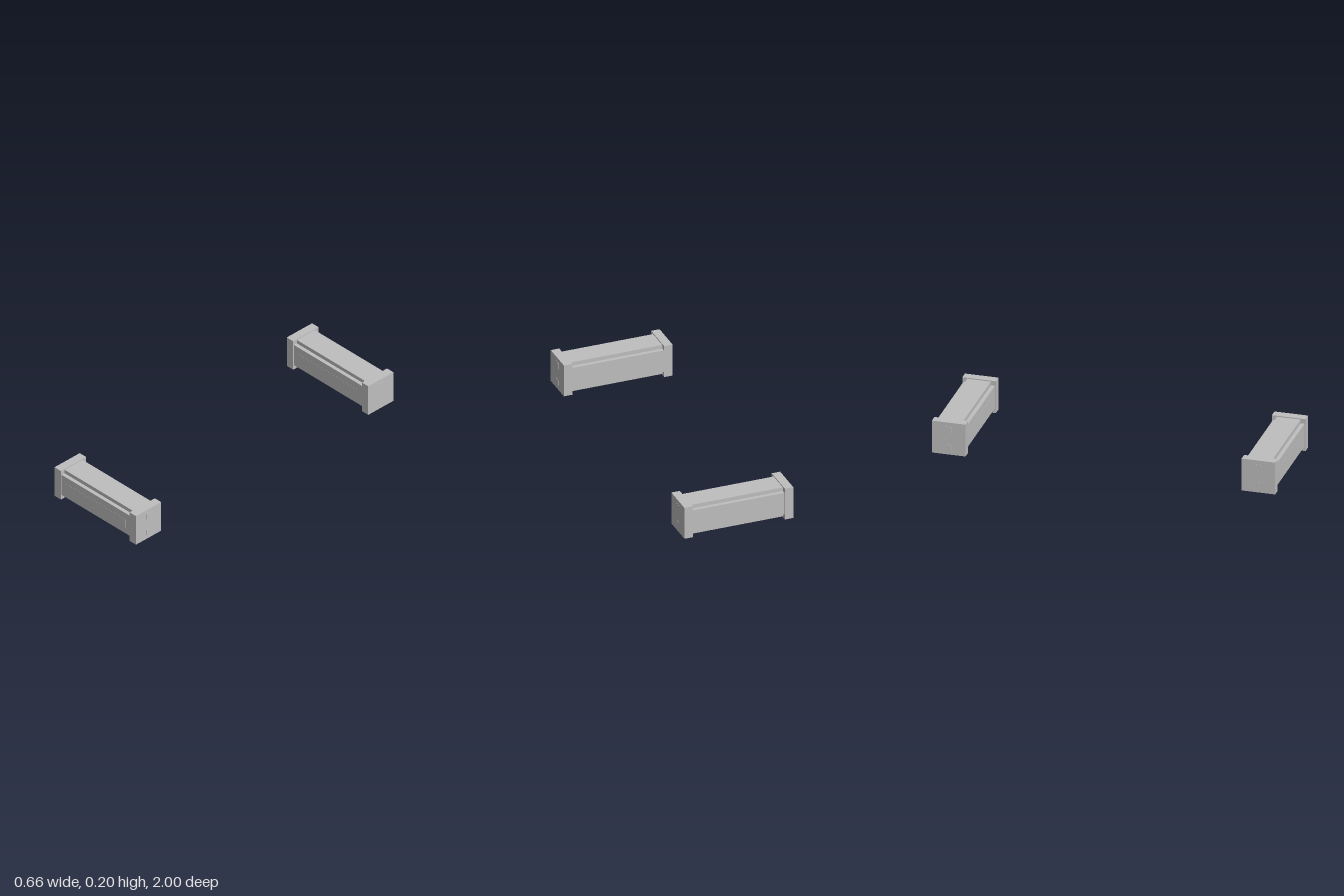
import * as THREE from 'three';

const grey = new THREE.MeshStandardMaterial({ color: 0xbfbfbf });
grey.name = 'light grey';

const H = 0.196, MID = H / 2;

function box(parent, name, w, h, d, x, y, z) {
  const mesh = new THREE.Mesh(new THREE.BoxGeometry(w, h, d), grey);
  mesh.name = name;
  mesh.position.set(x, y, z);
  parent.add(mesh);
  return mesh;
}

// Cross-shaped beam: a square bar with a step cut along each long edge
function beam(length, outer, inner) {
  const s = new THREE.Shape();
  [[-inner, -outer], [inner, -outer], [inner, -inner], [outer, -inner],
    [outer, inner], [inner, inner], [inner, outer], [-inner, outer],
    [-inner, inner], [-outer, inner], [-outer, -inner], [-inner, -inner]]
    .forEach(([x, y], i) => (i ? s.lineTo(x, y) : s.moveTo(x, y)));
  s.closePath();
  const g = new THREE.ExtrudeGeometry(s, { depth: length, bevelEnabled: false });
  g.translate(0, 0, -length / 2);
  g.rotateY(Math.PI / 2);
  return g;
}

function createUnit(name, z) {
  const unit = new THREE.Group();
  unit.name = name;
  unit.position.z = z;

  const body = new THREE.Mesh(beam(0.556, 0.092, 0.069), grey);
  body.name = 'steppedBody';
  body.position.y = MID;
  unit.add(body);

  // Thin plate on the front face
  box(unit, 'frontPlate', 0.48, 0.052, 0.001, 0, MID, 0.0923);

  // End blocks with two small raised pads each
  for (const side of [1, -1]) {
    const end = side > 0 ? 'left' : 'right';
    box(unit, end + 'EndBlock', 0.051, H, H, side * 0.3025, MID, 0);
    for (const dy of [-0.053, 0.053]) {
      box(unit, end + 'Pad', 0.003, 0.037, 0.037, side * 0.3283, MID + dy, 0);
    }
  }
  return unit;
}

export function createModel() {
  const model = new THREE.Group();
  model.name = 'pairOfBeams';
  model.add(createUnit('frontBeam', 1 - H / 2), createUnit('backBeam', -1 + H / 2));
  return model;
}
